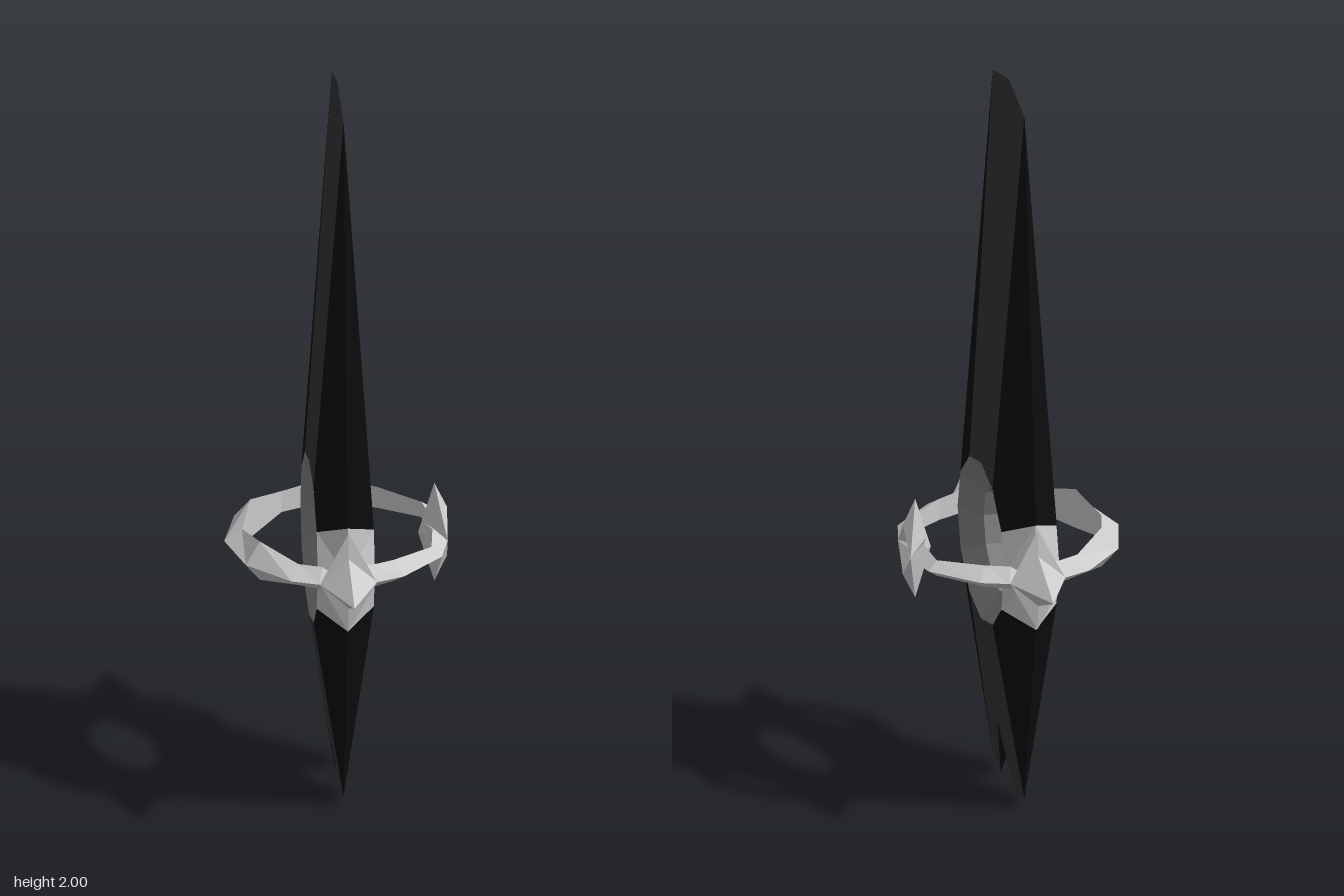
import * as THREE from 'three';

const paint = (color) => new THREE.MeshStandardMaterial({ color, flatShading: true });
const CENTER_Y = 0.7;

// Fans each polygon into triangles that face away from its reference point.
// polys: [{ pts: [Vector3...], ref: Vector3 }]
function facets(name, polys, material) {
  const out = [];
  const n = new THREE.Vector3(), e = new THREE.Vector3(), c = new THREE.Vector3();
  for (const { pts, ref } of polys) {
    for (let i = 1; i < pts.length - 1; i++) {
      const [a, b, d] = [pts[0], pts[i], pts[i + 1]];
      n.subVectors(b, a).cross(e.subVectors(d, a));
      c.copy(a).add(b).add(d).divideScalar(3).sub(ref);
      const tri = n.dot(c) < 0 ? [a, d, b] : [a, b, d];
      tri.forEach((p) => out.push(p.x, p.y, p.z));
    }
  }
  const geo = new THREE.BufferGeometry();
  geo.setAttribute('position', new THREE.Float32BufferAttribute(out, 3));
  geo.computeVertexNormals();
  const mesh = new THREE.Mesh(geo, material);
  mesh.name = name;
  return mesh;
}

const V = (x, y, z) => new THREE.Vector3(x, y, z);

// Repeats a quarter outline on both faces and both edges
function mirrored(pts, ref) {
  const polys = [];
  for (const sx of [1, -1]) for (const sz of [1, -1]) {
    const m = V(sx, 1, sz);
    polys.push({ pts: pts.map((p) => p.clone().multiply(m)), ref: ref.clone().multiply(m) });
  }
  return polys;
}

// Band of quads between successive closed sections
function loft(sections, refs) {
  const polys = [];
  sections.forEach((s, i) => {
    const j = (i + 1) % sections.length, t = sections[j];
    const ref = refs[i].clone().add(refs[j]).multiplyScalar(0.5);
    s.forEach((p, k) => {
      const l = (k + 1) % s.length;
      polys.push({ pts: [p, s[l], t[l], t[k]], ref });
    });
  });
  return polys;
}

// Star-shaped node on the guard ring: faceted centre plus upper and lower thorns
function starNode(name, angle, { tip, face, half, thorn, back }, material) {
  const at = (r, t, y) => V(r, y, t);
  const polys = [];
  const ref = V((face + back) / 2 - 0.01, 0, 0);
  for (const st of [1, -1]) for (const sy of [1, -1]) {
    const side = at(face - 0.004, st * half, 0), mid = at(face, 0, sy * 0.07);
    const point = at(thorn, 0, sy * 0.14);
    // a sunken centre still faces outward
    polys.push({ pts: [at(tip, 0, 0), side, mid], ref: V(-1, 0, 0) });
    polys.push({ pts: [side, point, mid], ref: V(-1, 0, 0) });
    polys.push({ pts: [side, point, at(back, 0, 0)], ref: V(1, 0, 0) });
  }
  const mesh = facets(name, polys, material);
  mesh.rotation.y = angle;
  mesh.position.y = CENTER_Y;
  return mesh;
}

export function createModel() {
  const model = new THREE.Group();
  model.name = 'blade';
  const light = paint(0xcccccc), grey = paint(0x808080);
  const dark = paint(0x333333), black = paint(0x0c0c0c);
  const T = 0.074;

  // Upper blade
  const upRef = V(0, 1.2, 0);
  const topEdge = V(0, 1.96, 0.15), upIn = V(T, 0.89, 0.11);
  model.add(facets('upperBladeFaces',
    mirrored([V(0, 2, 0), V(T, 0.92, 0), upIn, topEdge], upRef), dark));
  model.add(facets('upperBladeBevels',
    mirrored([topEdge, upIn, V(T, 0.81, 0.195), V(0, 0.848, 0.26)], upRef), black));

  // Lower blade with a split tip
  const lowRef = V(0, 0.4, 0);
  const lowIn = V(T, 0.51, 0.11), lowEdge = V(0, 0.025, 0.15);
  const notch = V(0.03, 0.18, 0), prong = V(0, 0, 0.075);
  model.add(facets('lowerBladeFaces',
    mirrored([notch, prong, lowEdge, lowIn, V(T, 0.48, 0)], lowRef), dark));
  model.add(facets('lowerBladeBevels',
    mirrored([lowEdge, lowIn, V(T, 0.59, 0.195), V(0, 0.552, 0.26)], lowRef), black));
  model.add(facets('lowerBladeNotch',
    mirrored([notch, V(0, 0.18, 0), prong], V(0, 0.2, 0.1)), black));
  model.add(facets('lowerBladeProngTips',
    mirrored([prong, lowEdge, V(0, 0.03, 0.1)], V(0, 0.2, 0.1)), black));

  // Twelve-sided collar around the round opening
  const outer = [], inner = [];
  for (let i = 0; i < 12; i++) {
    const a = (i * Math.PI) / 6;
    const p = (r, x) => V(x, CENTER_Y + r * Math.sin(a), r * Math.cos(a));
    const b = ((i + 1) * Math.PI) / 6;
    const q = (r, x) => V(x, CENTER_Y + r * Math.sin(b), r * Math.cos(b));
    const ridgeA = i % 6 === 0 ? 0.26 : 0.298, ridgeB = (i + 1) % 6 === 0 ? 0.26 : 0.298;
    const ref = p(0.2, 0).add(q(0.2, 0)).multiplyScalar(0.5);
    for (const s of [1, -1]) {
      outer.push({ pts: [p(ridgeA, 0), q(ridgeB, 0), q(0.222, s * T), p(0.222, s * T)], ref });
      inner.push({ pts: [p(0.222, s * T), q(0.222, s * T), q(0.147, s * 0.025), p(0.147, s * 0.025)], ref });
    }
    inner.push({ pts: [p(0.147, 0.025), q(0.147, 0.025), q(0.147, -0.025), p(0.147, -0.025)], ref });
  }
  model.add(facets('collarRim', outer, light), facets('collarBore', inner, grey));

  // Guard ring, wedge section: [degrees, inner radius, outer radius, half height]
  const half = [
    [0, 0.22, 0.265, 0.03], [11, 0.245, 0.285, 0.03], [30, 0.265, 0.295, 0.022],
    [60, 0.247, 0.292, 0.03], [75, 0.25, 0.289, 0.032], [90, 0.266, 0.275, 0.05],
    [105, 0.25, 0.289, 0.032], [120, 0.247, 0.292, 0.03], [150, 0.247, 0.292, 0.055],
    [180, 0.248, 0.294, 0.032],
  ];
  const stations = [...half, ...half.slice(1, -1).reverse().map(([d, ...rest]) => [360 - d, ...rest])];
  const sections = [], refs = [];
  for (const [deg, ri, ro, h] of stations) {
    const a = THREE.MathUtils.degToRad(deg);
    const p = (r, y) => V(r * Math.cos(a), CENTER_Y + y, r * Math.sin(a));
    sections.push([p(ro, 0), p(ri, h), p(ri, -h)]);
    refs.push(p((ro + 2 * ri) / 3, 0));
  }
  model.add(facets('guardRing', loft(sections, refs), light));

  // Front and back spikes, and the sunken star on the left side
  const spike = { tip: 0.428, face: 0.282, half: 0.074, thorn: 0.275, back: 0.264 };
  model.add(starNode('frontSpike', -Math.PI / 2, spike, light));
  model.add(starNode('backSpike', Math.PI / 2, spike, light));
  model.add(starNode('sideStar', 0,
    { tip: 0.245, face: 0.283, half: 0.06, thorn: 0.25, back: 0.208 }, light));

  model.children.forEach((m) => { m.position.x += 0.004; });
  return model;
}
